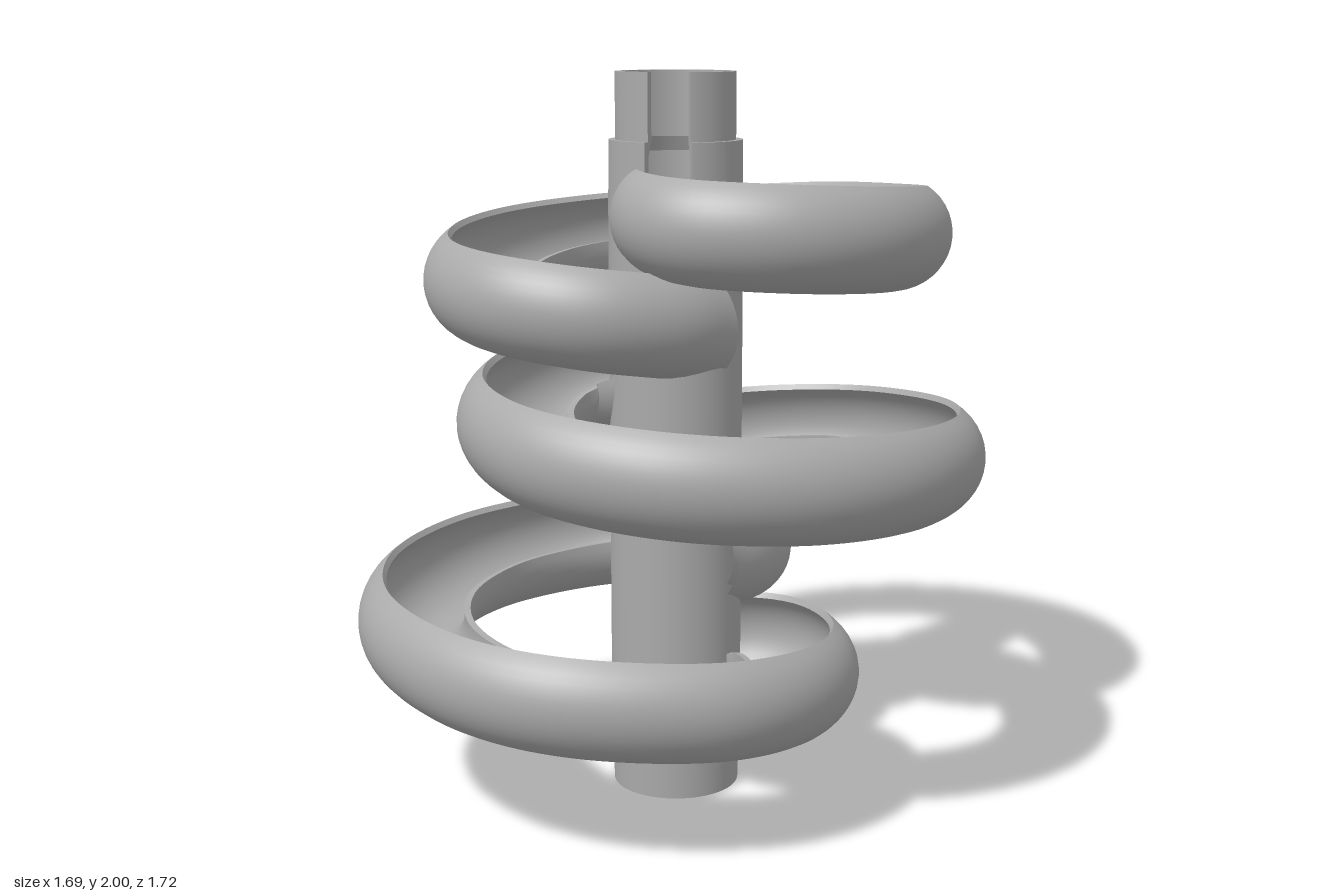
import * as THREE from 'three';
import { mergeGeometries } from 'three/addons/utils/BufferGeometryUtils.js';

const R_OUT = 0.155, R_IN = 0.137;
const AXIS_X = -0.03;

// Arc of the gutter section: angle 0 points away from the bend, 90 degrees points up
function arc(r, from, to, n = 28) {
  return Array.from({ length: n + 1 }, (_, i) => {
    const a = THREE.MathUtils.degToRad(from + (to - from) * i / n);
    return [r * Math.cos(a), r * Math.sin(a)];
  });
}

// Sweep an open-topped gutter along a path, with sharp rims
function gutter(points, material, name) {
  const curve = new THREE.CatmullRomCurve3(points.map(p => new THREE.Vector3(...p)));
  const steps = 140, hi = 57, lo = -186;
  const outer = arc(R_OUT, hi, lo), inner = arc(R_IN, lo, hi);
  const strips = [outer, [outer.at(-1), inner[0]], inner, [inner.at(-1), outer[0]]];
  const pos = [], index = [];
  const up = new THREE.Vector3(0, 1, 0);
  for (const strip of strips) {
    const base = pos.length / 3, n = strip.length;
    for (let i = 0; i <= steps; i++) {
      const c = curve.getPointAt(i / steps);
      const side = curve.getTangentAt(i / steps).cross(up).normalize();
      for (const [s, h] of strip) pos.push(c.x + side.x * s, c.y + h, c.z + side.z * s);
    }
    for (let i = 0; i < steps; i++) {
      for (let j = 0; j < n - 1; j++) {
        const a = base + i * n + j, b = a + 1, c = a + n, d = c + 1;
        index.push(a, b, c, b, d, c);
      }
    }
  }
  const geo = new THREE.BufferGeometry();
  geo.setAttribute('position', new THREE.Float32BufferAttribute(pos, 3));
  geo.setIndex(index);
  geo.computeVertexNormals();
  const mesh = new THREE.Mesh(geo, material);
  mesh.name = name;
  return mesh;
}

// Turned wall whose profile corners all stay sharp
function turned(profile, material, name, start = 0, length = Math.PI * 2) {
  const parts = [];
  for (let i = 0; i < profile.length - 1; i++) {
    const pair = [profile[i], profile[i + 1]].map(p => new THREE.Vector2(...p));
    parts.push(new THREE.LatheGeometry(pair, 64, start, length));
  }
  const mesh = new THREE.Mesh(mergeGeometries(parts), material);
  mesh.name = name;
  mesh.position.x = AXIS_X;
  return mesh;
}

export function createModel() {
  const model = new THREE.Group();
  model.name = 'marbleRun';
  const grey = new THREE.MeshStandardMaterial({ color: 0xaaaaaa, side: THREE.DoubleSide });
  grey.name = 'grey';

  // Hollow column, slotted at the top where marbles leave the cup
  const slotY = 1.62, slotAngle = 0.6, slotHalf = 0.35;
  model.add(turned([[0.16, 0], [0.177, 0], [0.183, 0.22], [0.183, slotY], [0.16, slotY], [0.16, 0]],
    grey, 'column'));
  const wall = [[0.16, slotY], [0.183, slotY], [0.181, 1.82], [0.163, 1.82],
    [0.163, 2], [0.143, 2], [0.143, 1.82], [0.16, 1.78], [0.16, slotY]];
  model.add(turned(wall, grey, 'slottedCollar', slotAngle + slotHalf, Math.PI * 2 - 2 * slotHalf));

  // Flat faces on both sides of the slot
  const edge = new THREE.ShapeGeometry(new THREE.Shape(wall.map(p => new THREE.Vector2(...p))));
  for (const s of [-1, 1]) {
    const face = new THREE.Mesh(edge, grey);
    face.name = 'slotEdge';
    face.position.x = AXIS_X;
    face.rotation.y = slotAngle + s * slotHalf - Math.PI / 2;
    model.add(face);
  }

  // Sloping floor inside the cup
  const floor = new THREE.Mesh(new THREE.CircleGeometry(0.158, 48), grey);
  floor.name = 'cupFloor';
  floor.position.set(AXIS_X, 1.5, 0);
  floor.rotation.x = -Math.PI / 2 + 0.15;
  model.add(floor);

  // Upper loop; the lower loop is the same path turned half round the x axis
  const upper = [
    [-0.03, 1.63, 0], [0.06, 1.62, 0.13], [0.2, 1.61, 0.16], [0.38, 1.6, 0.05],
    [0.465, 1.585, -0.15], [0.42, 1.565, -0.39], [0.18, 1.54, -0.635], [-0.1, 1.525, -0.705],
    [-0.4, 1.5, -0.635], [-0.62, 1.48, -0.42], [-0.695, 1.46, -0.13], [-0.62, 1.44, 0.14],
    [-0.46, 1.42, 0.32], [-0.25, 1.405, 0.385], [-0.06, 1.38, 0.31], [0.035, 1.35, 0.15],
    [0.04, 1.32, 0],
  ];
  const turn = ([x, y, z]) => [x, 2.005 - y, -z];
  model.add(gutter(upper, grey, 'upperLoop'));
  model.add(gutter(upper.map(turn).reverse(), grey, 'lowerLoop'));

  // Middle loop, symmetric about its right-hand point
  const half = [
    [-0.02, 1.19, 0], [-0.16, 1.165, 0.02], [-0.28, 1.14, 0.11], [-0.3, 1.12, 0.28],
    [-0.16, 1.095, 0.49], [0.1, 1.07, 0.595], [0.4, 1.045, 0.515], [0.61, 1.022, 0.29],
  ];
  model.add(gutter([...half, [0.685, 1.0025, 0], ...half.map(turn).reverse()], grey, 'middleLoop'));
  return model;
}
